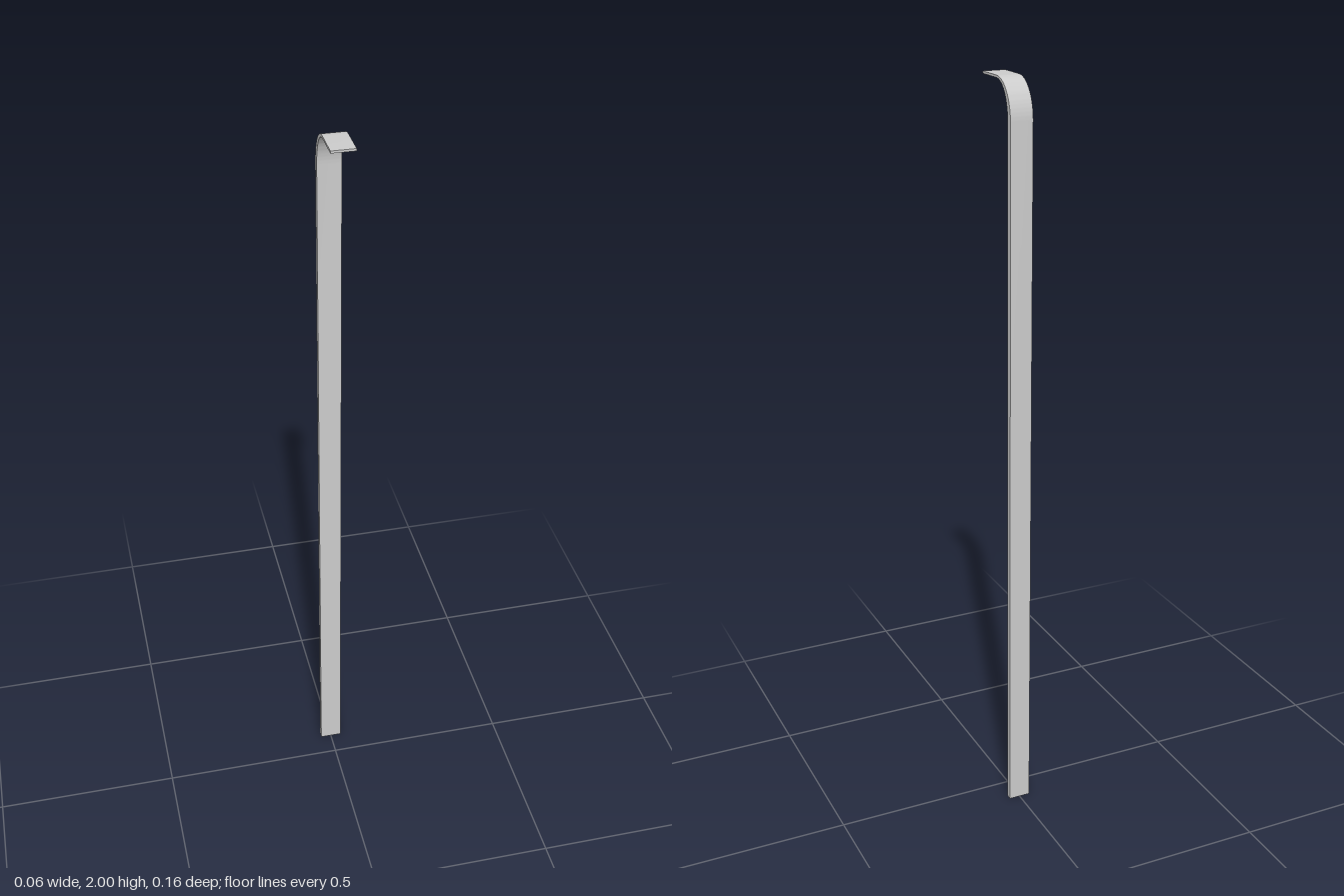
import * as THREE from 'three';
import { toCreasedNormals } from 'three/addons/utils/BufferGeometryUtils.js';

const WIDTH = 0.06;
const BACK = -0.08, FRONT = 0.08, TOP = 2;
const BEND_Z = 0, BEND_Y = 1.9;          // centre of the bend
const STEM = 0.016, LIP = 0.006;         // the strip thins towards the lip

export function createModel() {
  const group = new THREE.Group();
  group.name = 'bentStrip';

  // Side outline: shape x runs along z, shape y is up
  const outline = new THREE.Shape();
  const rz = BEND_Z - BACK, ry = TOP - BEND_Y;
  outline.moveTo(BACK, 0);
  outline.lineTo(BACK + STEM, 0);
  outline.lineTo(BACK + STEM, BEND_Y);
  outline.absellipse(BEND_Z, BEND_Y, rz - STEM, ry - LIP, Math.PI, Math.PI / 2, true);
  outline.lineTo(FRONT, TOP - LIP);
  outline.lineTo(FRONT, TOP);
  outline.lineTo(BEND_Z, TOP);
  outline.absellipse(BEND_Z, BEND_Y, rz, ry, Math.PI / 2, Math.PI, false);
  outline.closePath();

  // Extrude across the width and turn the outline to face sideways
  const geometry = new THREE.ExtrudeGeometry(outline, {
    depth: WIDTH, steps: 2, curveSegments: 16, bevelEnabled: false,
  });
  geometry.translate(0, 0, -WIDTH / 2);
  geometry.rotateY(-Math.PI / 2);

  const strip = new THREE.Mesh(
    toCreasedNormals(geometry, Math.PI / 6),
    new THREE.MeshStandardMaterial({ color: 0xcccccc }),
  );
  strip.name = 'hookedStrip';
  group.add(strip);
  return group;
}
